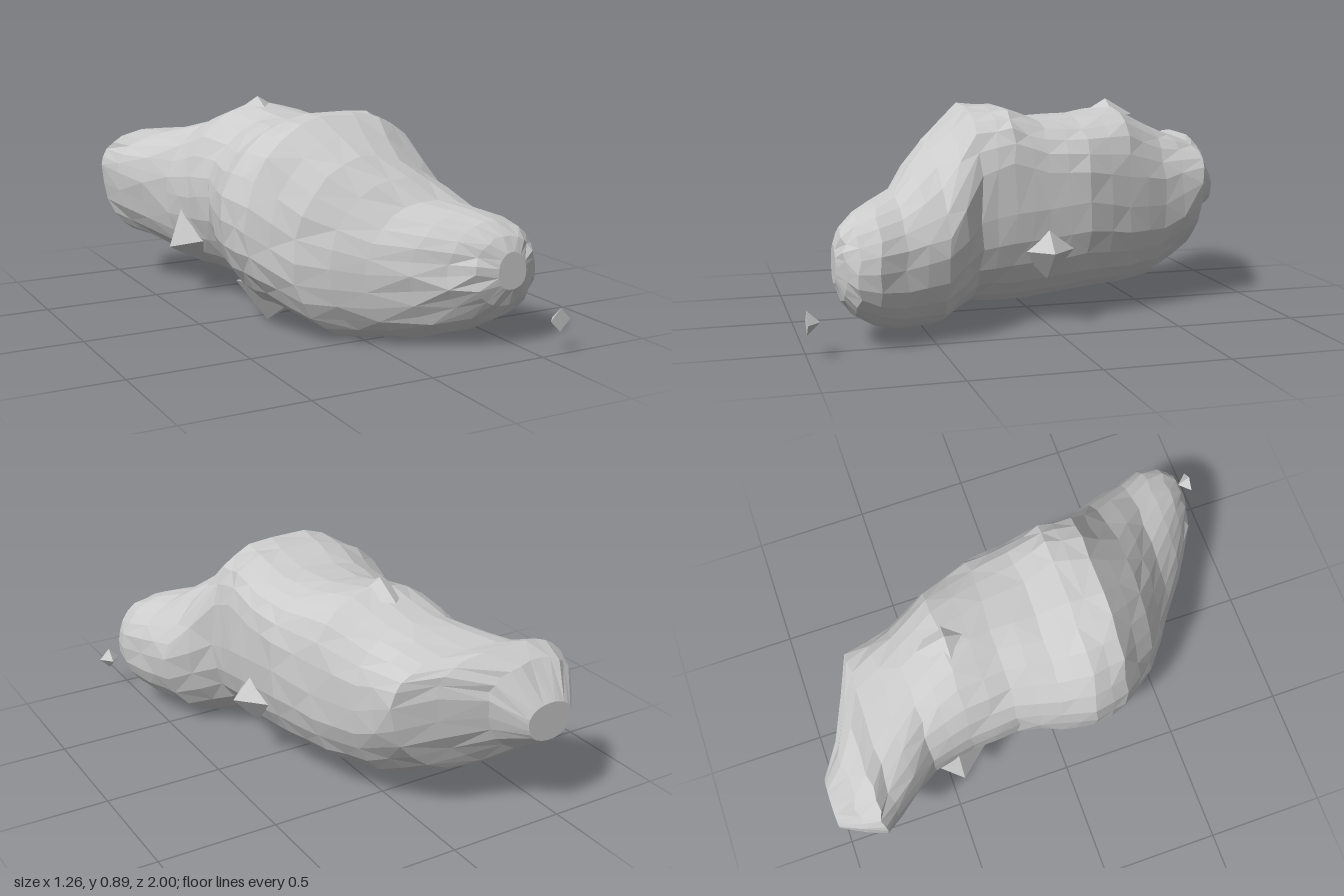
import * as THREE from 'three';

// Key cross-sections, back to front:
// z, xMin, xMax, yMin, yMax, crest x, widest y, shoulder (low = boxy, high = hollow)
const KEYS = [
  [-1.00, -0.53, -0.32, 0.36, 0.52, -0.43, 0.45, 0.9],
  [-0.90, -0.60, -0.20, 0.29, 0.66, -0.43, 0.54, 0.9],
  [-0.82, -0.63, -0.02, 0.22, 0.71, -0.40, 0.56, 0.75],
  [-0.76, -0.58, 0.14, 0.19, 0.70, -0.30, 0.53, 0.65],
  [-0.56, -0.42, 0.19, 0.10, 0.77, -0.14, 0.45, 0.75],
  [-0.38, -0.39, 0.27, 0.09, 0.86, -0.06, 0.46, 0.8],
  [-0.18, -0.38, 0.34, 0.08, 0.83, -0.02, 0.50, 0.7],
  [0.00, -0.43, 0.35, 0.06, 0.83, -0.02, 0.48, 0.6],
  [0.14, -0.46, 0.36, 0.05, 0.88, -0.02, 0.47, 0.5],
  [0.28, -0.42, 0.37, 0.06, 0.88, -0.04, 0.44, 0.6],
  [0.45, -0.29, 0.53, 0.00, 0.74, 0.04, 0.34, 1.2],
  [0.62, -0.07, 0.57, 0.02, 0.57, 0.21, 0.31, 0.9],
  [0.72, 0.07, 0.61, 0.06, 0.54, 0.31, 0.31, 0.9],
  [0.80, 0.19, 0.60, 0.12, 0.51, 0.38, 0.31, 0.95],
  [0.85, 0.28, 0.56, 0.18, 0.46, 0.42, 0.32, 0.95],
  [0.88, 0.37, 0.50, 0.25, 0.40, 0.43, 0.32, 0.95],
];
const SIDES = 26;

// Adds a halfway section wherever two keys lie far apart
function allSections() {
  const sections = [];
  KEYS.forEach((key, i) => {
    const before = KEYS[i - 1];
    if (before && key[0] - before[0] > 0.12) {
      sections.push(key.map((value, n) => (value + before[n]) / 2));
    }
    sections.push(key);
  });
  return sections;
}

// Repeatable noise in -0.5..0.5
function noise(a, b) {
  const s = Math.sin(a * 12.99 + b * 78.23) * 43758.55;
  return s - Math.floor(s) - 0.5;
}

// Rounded loops whose four quadrants each have their own reach and fullness
function bodyGeometry() {
  const sections = allSections();
  const last = sections.length - 1;
  const pos = [], index = [];
  sections.forEach(([z, x0, x1, y0, y1, xc, yc, shoulder], i) => {
    const zNoise = i === 0 || i === last ? 0 : 0.02;
    for (let j = 0; j < SIDES; j++) {
      const t = (j / SIDES) * Math.PI * 2;
      const c = Math.cos(t), s = Math.sin(t);
      const k = 1 + 0.025 * noise(i + 1, j + 1);
      const rightPower = s > 0 ? 1.02 : 0.95;
      const leftPower = s > 0 ? shoulder : 0.87;
      const power = c > 0 ? leftPower : rightPower;
      pos.push(
        xc + (c > 0 ? x1 - xc : x0 - xc) * Math.abs(c) ** power * k,
        yc + (s > 0 ? y1 - yc : y0 - yc) * Math.abs(s) ** power * k,
        z + zNoise * noise(j + 3, i + 7));
    }
  });
  // Skin, with alternating diagonals
  for (let i = 0; i < last; i++) {
    for (let j = 0; j < SIDES; j++) {
      const a = i * SIDES + j, b = i * SIDES + (j + 1) % SIDES;
      const c = b + SIDES, d = a + SIDES;
      if ((i + j) % 2) index.push(a, b, c, a, c, d);
      else index.push(a, b, d, b, c, d);
    }
  }
  // End caps
  [0, last].forEach((i) => {
    const [z, , , , , xc, yc] = sections[i];
    const centre = pos.length / 3;
    pos.push(xc, yc, z);
    for (let j = 0; j < SIDES; j++) {
      const a = i * SIDES + j, b = i * SIDES + (j + 1) % SIDES;
      if (i === 0) index.push(centre, b, a);
      else index.push(centre, a, b);
    }
  });
  const g = new THREE.BufferGeometry();
  g.setAttribute('position', new THREE.Float32BufferAttribute(pos, 3));
  g.setIndex(index);
  g.computeVertexNormals();
  return g;
}

export function createModel() {
  const group = new THREE.Group();
  group.name = 'asteroid';
  const material = new THREE.MeshStandardMaterial({ color: 0xcccccc, flatShading: true });

  const body = new THREE.Mesh(bodyGeometry(), material);
  body.name = 'rockBody';
  group.add(body);

  // Four-sided points: tip position, outward direction, radius, height
  const addPoint = (name, tip, dir, radius, height) => {
    const g = new THREE.ConeGeometry(radius, height, 4);
    g.translate(0, -height / 2, 0);
    const mesh = new THREE.Mesh(g, material);
    mesh.name = name;
    mesh.quaternion.setFromUnitVectors(
      new THREE.Vector3(0, 1, 0), new THREE.Vector3(...dir).normalize());
    mesh.position.set(...tip);
    group.add(mesh);
  };
  addPoint('topBump', [-0.05, 0.89, -0.37], [0, 1, 0], 0.12, 0.07);
  addPoint('leftBump', [0.42, 0.31, 0.0], [1, 0, 0], 0.12, 0.11);
  addPoint('bottomBump', [-0.23, 0.01, 0.09], [-0.3, -1, 0], 0.19, 0.14);
  addPoint('rightBump', [-0.45, 0.23, -0.45], [-1, -0.4, 0], 0.14, 0.12);

  // Loose chip floating off the front
  addPoint('looseChip', [0.58, 0.14, 0.95], [0, 0, -1], 0.047, 0.05);
  return group;
}
